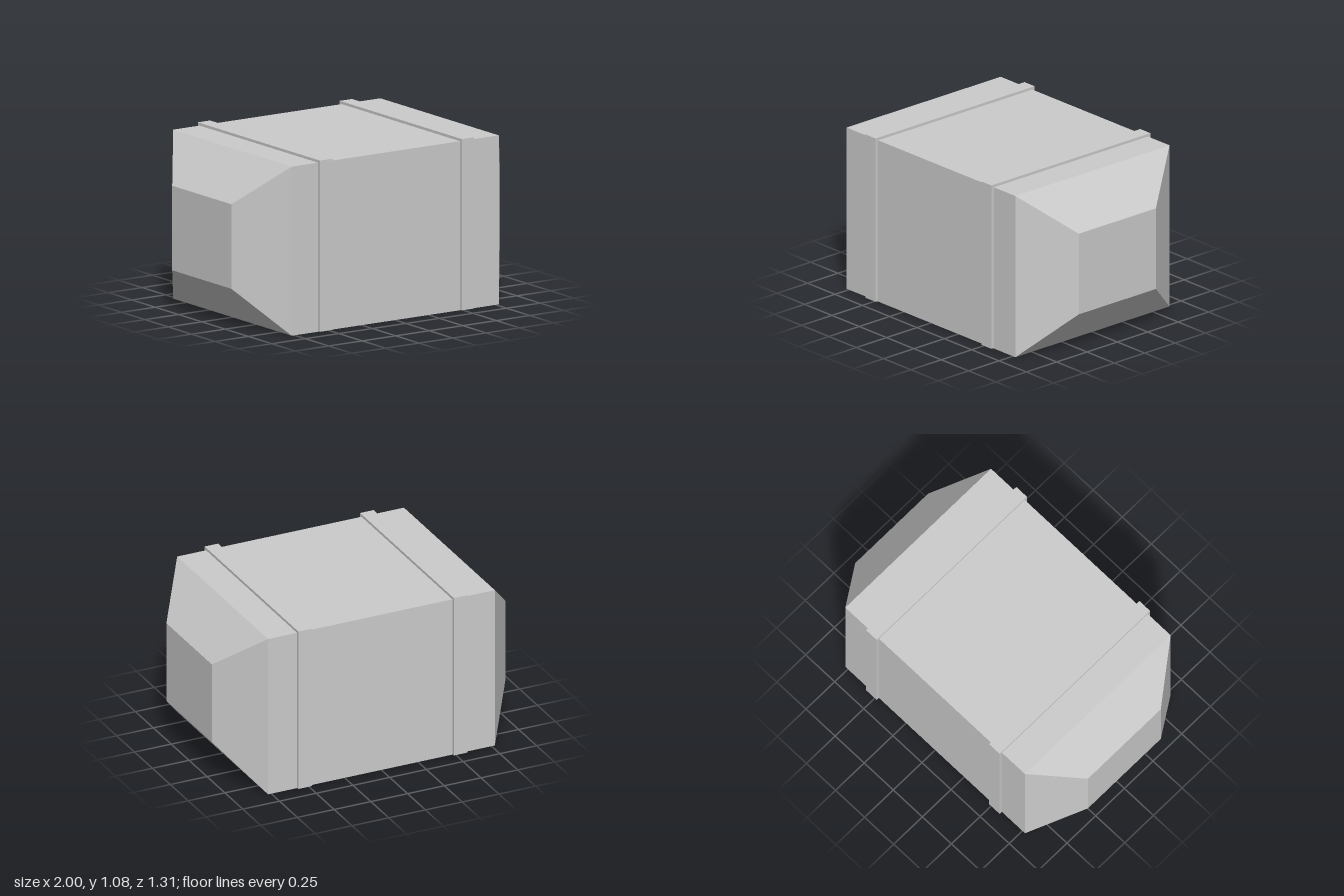
import * as THREE from 'three';

const HALF_END = 1, HALF_BODY = 0.772;
const HEIGHT = 1.06, DEPTH = 1.27;

export function createModel() {
  const group = new THREE.Group();
  const material = new THREE.MeshStandardMaterial({ color: 0xcccccc, flatShading: true });

  // Box in three sections along x; the two end faces shrink to half size
  const bodyGeo = new THREE.BoxGeometry(2, HEIGHT, DEPTH, 3, 1, 1);
  const p = bodyGeo.attributes.position;
  for (let i = 0; i < p.count; i++) {
    const x = p.getX(i), isEnd = Math.abs(x) > 0.9;
    const scale = isEnd ? 0.5 : 1;
    p.setXYZ(i, Math.sign(x) * (isEnd ? HALF_END : HALF_BODY), p.getY(i) * scale, p.getZ(i) * scale);
  }
  bodyGeo.computeVertexNormals();
  const body = new THREE.Mesh(bodyGeo, material);
  body.name = 'body';
  body.position.y = HEIGHT / 2;
  group.add(body);

  // Straps over the front, top and back, open underneath
  const w = 0.655, top = 1.077, low = 0.003, inner = 0.625, innerTop = 1.05;
  const outline = new THREE.Shape([
    [-w, low], [-inner, low], [-inner, innerTop], [inner, innerTop],
    [inner, low], [w, low], [w, top], [-w, top],
  ].map(([z, y]) => new THREE.Vector2(z, y)));
  const strapWidth = 0.092;
  const strapGeo = new THREE.ExtrudeGeometry(outline, { depth: strapWidth, bevelEnabled: false });
  strapGeo.translate(0, 0, -strapWidth / 2);
  strapGeo.rotateY(Math.PI / 2);
  for (const side of [-1, 1]) {
    const strap = new THREE.Mesh(strapGeo, material);
    strap.name = side > 0 ? 'leftStrap' : 'rightStrap';
    strap.position.x = side * 0.529;
    group.add(strap);
  }
  return group;
}
